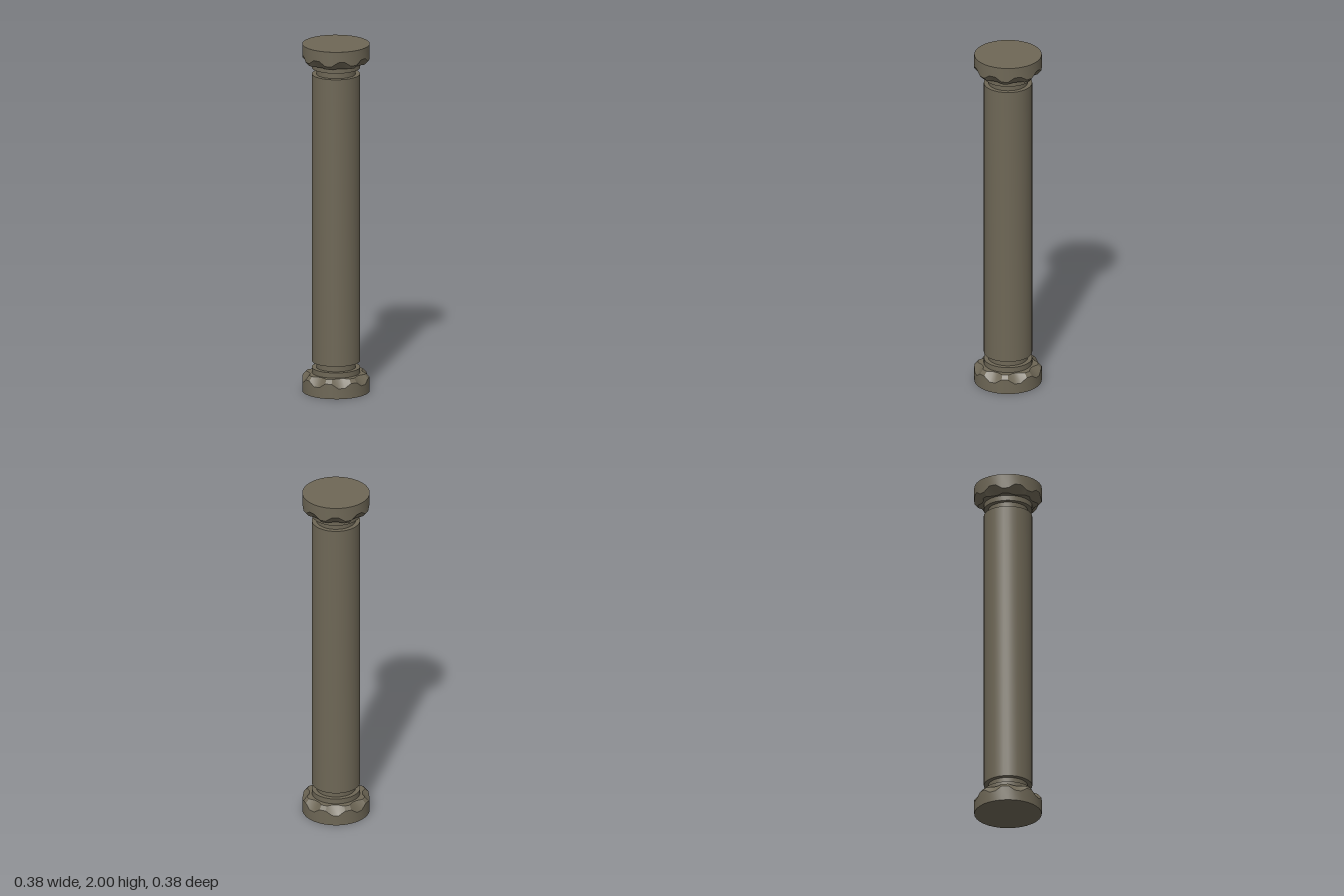
import * as THREE from 'three';
import { toCreasedNormals } from 'three/addons/utils/BufferGeometryUtils.js';

const SIDES = 32;
const HEIGHT = 2;
const stone = new THREE.MeshStandardMaterial({ color: 0x6e6756 });

// Turned part from [radius, y] pairs; flipped mirrors it to the other end of the column
function turned(name, profile, flipped = false, adjust = null) {
  const rows = profile.map(([r, y]) => new THREE.Vector2(r, flipped ? HEIGHT - y : y));
  if (flipped) rows.reverse();
  const geometry = new THREE.LatheGeometry(rows, SIDES);
  if (adjust) {
    const pos = geometry.attributes.position;
    for (let i = 0; i <= SIDES; i++) {
      for (let j = 0; j < rows.length; j++) {
        const row = flipped ? rows.length - 1 - j : j;
        const [r, y] = adjust(i % SIDES, row, profile[row]);
        const a = (i / SIDES) * Math.PI * 2;
        pos.setXYZ(i * rows.length + j, r * Math.sin(a), flipped ? HEIGHT - y : y, r * Math.cos(a));
      }
    }
  }
  const mesh = new THREE.Mesh(toCreasedNormals(geometry, 0.35), stone);
  mesh.name = name;
  return mesh;
}

// Eight notches around the rim: two low corners, then two high corners
function scallop(side, row, [r, y]) {
  const low = side % 4 < 2;
  if (row === 2) return [r, low ? 0.06 : 0.085];
  if (row === 3) return [low ? 0.148 : 0.168, y];
  return [r, y];
}

export function createModel() {
  const column = new THREE.Group();
  column.name = 'column';

  // Matching ends: scalloped block, thin collar and recessed neck
  for (const [end, flipped] of [['base', false], ['capital', true]]) {
    const group = new THREE.Group();
    group.name = end;
    group.add(
      turned(end + 'Block', [[0, 0], [0.188, 0], [0.188, 0.07], [0.16, 0.107], [0, 0.107]], flipped, scallop),
      turned(end + 'Collar', [[0, 0.1], [0.135, 0.1], [0.135, 0.137], [0, 0.137]], flipped),
      turned(end + 'Neck', [[0, 0.13], [0.11, 0.13], [0.11, 0.18], [0, 0.18]], flipped),
    );
    column.add(group);
  }

  // Plain round shaft
  column.add(turned('shaft', [[0, 0.173], [0.135, 0.173], [0.135, 1.827], [0, 1.827]]));
  return column;
}
